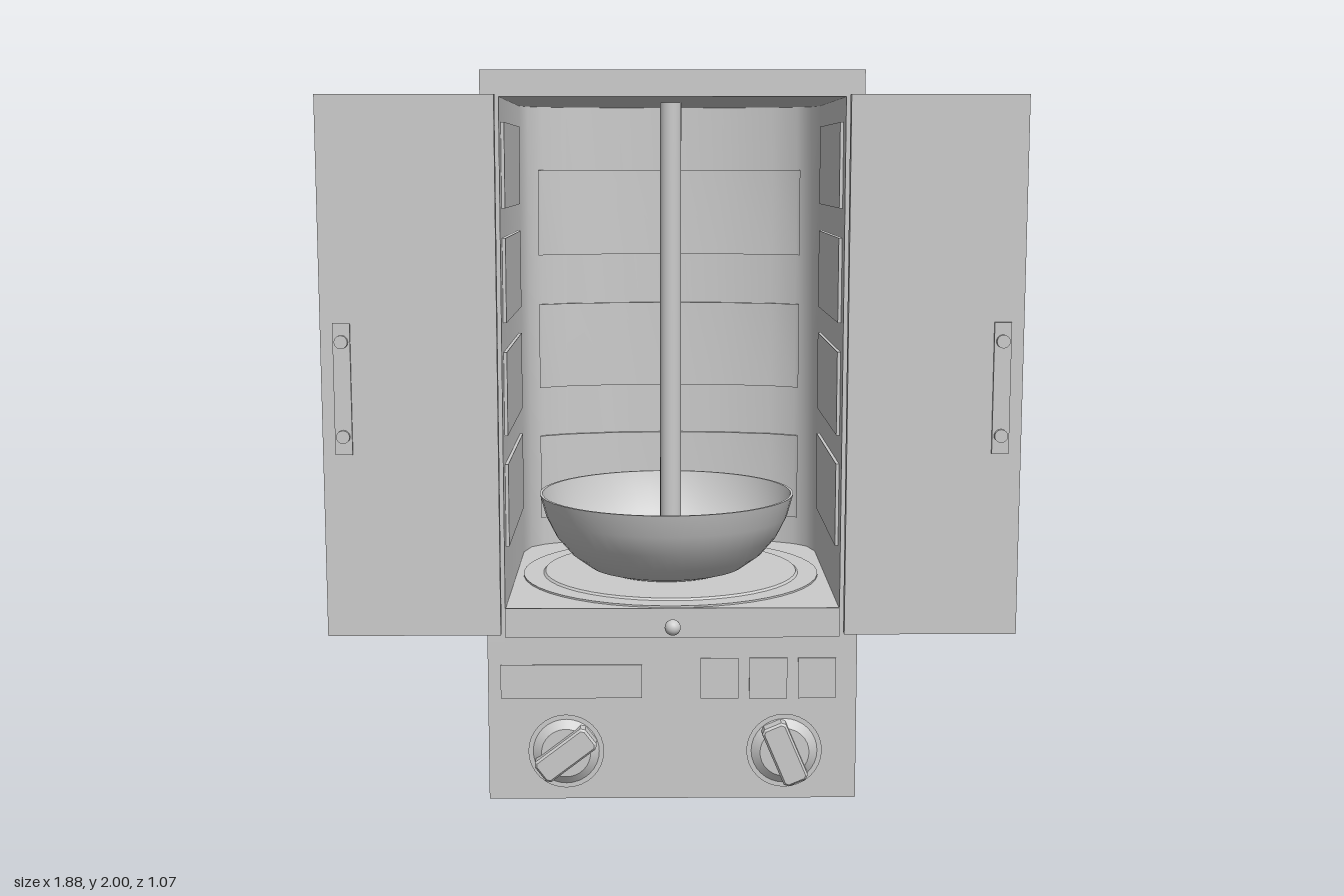
import * as THREE from 'three';
import { toCreasedNormals } from 'three/addons/utils/BufferGeometryUtils.js';

const grey = new THREE.MeshStandardMaterial({ color: 0xcccccc });
const greyDouble = new THREE.MeshStandardMaterial({ color: 0xcccccc, side: THREE.DoubleSide });

// Right half of the curved back, from the side wall to the middle
const outerHalf = [[0.51, -0.28], [0.475, -0.38], [0.42, -0.43], [0.34, -0.473], [0.17, -0.513], [0, -0.525]];
const skinHalf = [[0.515, -0.28], [0.48, -0.385], [0.425, -0.436], [0.344, -0.481], [0.172, -0.521], [0, -0.533]];
const innerHalf = [[0.46, -0.275], [0.44, -0.35], [0.40, -0.39], [0.325, -0.428], [0.165, -0.465], [0, -0.477]];

const mirrored = half => [...half, ...half.slice(0, -1).reverse().map(([x, z]) => [-x, z])];
const toShape = pts => new THREE.Shape(pts.map(([x, z]) => new THREE.Vector2(x, z)));

function add(parent, name, geometry, x = 0, y = 0, z = 0, material = grey) {
  const mesh = new THREE.Mesh(geometry, material);
  mesh.name = name;
  mesh.position.set(x, y, z);
  parent.add(mesh);
  return mesh;
}

// Raises a floor plan, given as [x, z] points, from y0 to y1
function raise(pts, y0, y1) {
  const g = new THREE.ExtrudeGeometry(toShape(pts), { depth: y1 - y0, bevelEnabled: false });
  g.rotateX(Math.PI / 2).translate(0, y1, 0);
  return toCreasedNormals(g, 0.55);
}

const box = (w, h, d) => new THREE.BoxGeometry(w, h, d);

function rod(r0, r1, length, sides = 32) {
  return new THREE.CylinderGeometry(r0, r1, length, sides).rotateX(Math.PI / 2);
}

function createCabinet(group) {
  const outer = mirrored(outerHalf), inner = mirrored(innerHalf);
  const plan = [[0.51, 0.47], ...outer, [-0.51, 0.47]];
  const floorPlan = [[0.46, 0.47], ...inner, [-0.46, 0.47]];
  add(group, 'base', raise(plan, 0, 0.45));
  add(group, 'lid', raise(plan, 1.93, 2));
  add(group, 'walls', raise([...plan, [-0.46, 0.47], ...inner.slice().reverse(), [0.46, 0.47]], 0.45, 1.93));
  add(group, 'floor', raise(floorPlan, 0.45, 0.54));
  add(group, 'backSkin', raise([...mirrored(skinHalf), ...outer.slice().reverse()], 0.445, 1.925));
  add(group, 'floorLip', box(0.92, 0.083, 0.006), 0, 0.503, 0.471);

  // Heating panels that follow the curved back wall
  const curve = mirrored([[0.41, -0.38], ...innerHalf.slice(2)]);
  const front = curve.map(([x, z]) => [x, z + 0.012]);
  for (const y of [0.63, 1.05, 1.47])
    add(group, 'backHeatingPanel', raise([...front, ...curve.slice().reverse()], y, y + 0.265));

  // Heating panels on the side walls
  for (const side of [-1, 1])
    for (let i = 0; i < 4; i++)
      add(group, 'sideHeatingPanel', box(0.012, 0.23, 0.57), side * 0.457, 0.82 + i * 0.31, 0.125);
}

function createSpit(group) {
  // Turntable with a raised ring, then the bowl and the spit
  const z = 0.01;
  add(group, 'turntable', new THREE.CylinderGeometry(0.44, 0.44, 0.01, 48), 0, 0.54, z);
  add(group, 'turntableRing', new THREE.CylinderGeometry(0.375, 0.385, 0.01, 48), 0, 0.546, z);
  const profile = [[0, 0.548], [0.17, 0.548], [0.23, 0.567], [0.285, 0.607], [0.33, 0.66], [0.36, 0.72], [0.378, 0.785],
    [0.37, 0.785], [0.352, 0.72], [0.32, 0.664], [0.277, 0.614], [0.225, 0.576], [0.165, 0.557], [0, 0.557]];
  const bowl = new THREE.LatheGeometry(profile.map(p => new THREE.Vector2(...p)), 48);
  add(group, 'bowl', toCreasedNormals(bowl, 0.7), -0.012, 0, z, greyDouble);
  add(group, 'spit', new THREE.CylinderGeometry(0.031, 0.031, 1.39, 24), 0, 1.24, z);
}

function createDoor(side) {
  const door = new THREE.Group();
  door.name = side > 0 ? 'leftDoor' : 'rightDoor';
  add(door, 'doorPanel', box(0.47, 1.455, 0.028), side * 0.704, 1.2075, 0.501);
  const x = side * 0.882;
  add(door, 'handleGrip', box(0.055, 0.355, 0.04), x, 1.158, 0.39);
  add(door, 'handlePlate', box(0.046, 0.355, 0.008), x, 1.158, 0.518);
  for (const y of [1.03, 1.285]) {
    add(door, 'handlePost', rod(0.018, 0.018, 0.09, 20), x, y, 0.448);
    add(door, 'handleBolt', rod(0.018, 0.018, 0.016, 20), x, y, 0.525);
  }
  return door;
}

function createKnob(x, angle) {
  const knob = new THREE.Group();
  knob.name = 'knob';
  knob.position.set(x, 0.14, 0.47);
  add(knob, 'knobSkirt', rod(0.105, 0.098, 0.012), 0, 0, 0.004);
  add(knob, 'knobDisc', rod(0.068, 0.093, 0.018), 0, 0, 0.018).rotation.y = 0;
  const grip = toShape([[-0.088, -0.025], [-0.078, -0.036], [0.078, -0.036], [0.088, -0.025],
    [0.088, 0.025], [0.078, 0.036], [-0.078, 0.036], [-0.088, 0.025]]);
  const g = new THREE.ExtrudeGeometry(grip, { depth: 0.036, bevelSize: 0.006, bevelThickness: 0.006, bevelOffset: -0.006, bevelSegments: 1 });
  add(knob, 'knobGrip', g, 0, 0, 0.012).rotation.z = angle;
  return knob;
}

function createControls(group) {
  group.add(createKnob(-0.295, 0.65), createKnob(0.31, -1.17));
  add(group, 'displayPanel', box(0.39, 0.095, 0.008), -0.28, 0.337, 0.47);
  for (const x of [0.13, 0.265, 0.4]) add(group, 'switchPlate', box(0.105, 0.115, 0.008), x, 0.345, 0.47);

  // Ball knob on the floor lip
  add(group, 'ballStem', rod(0.01, 0.01, 0.04, 16), 0, 0.5, 0.485);
  add(group, 'ballKnob', new THREE.SphereGeometry(0.022, 24, 16), 0, 0.5, 0.512);
}

function createSideVents(group) {
  // Thin tapered plates on both sides of the base, as [z, y] outlines
  const outlines = [
    [[0.26, 0.29], [-0.08, 0.29], [-0.03, 0.385], [0.235, 0.385]],
    [[0.285, 0.2], [-0.075, 0.2], [-0.035, 0.28], [0.235, 0.28]],
    [[0.34, 0.04], [-0.115, 0.065], [-0.05, 0.15], [0.3, 0.1]],
  ];
  for (const side of [-1, 1])
    for (const pts of outlines) {
      const g = new THREE.ExtrudeGeometry(toShape(pts), { depth: 0.004, bevelEnabled: false });
      g.rotateY(-Math.PI / 2).translate(0.002, 0, 0);
      add(group, 'sideVent', g, side * 0.51);
    }
}

export function createModel() {
  const group = new THREE.Group();
  group.name = 'verticalGrill';
  createCabinet(group);
  createSpit(group);
  group.add(createDoor(1), createDoor(-1));
  createControls(group);
  createSideVents(group);
  return group;
}
